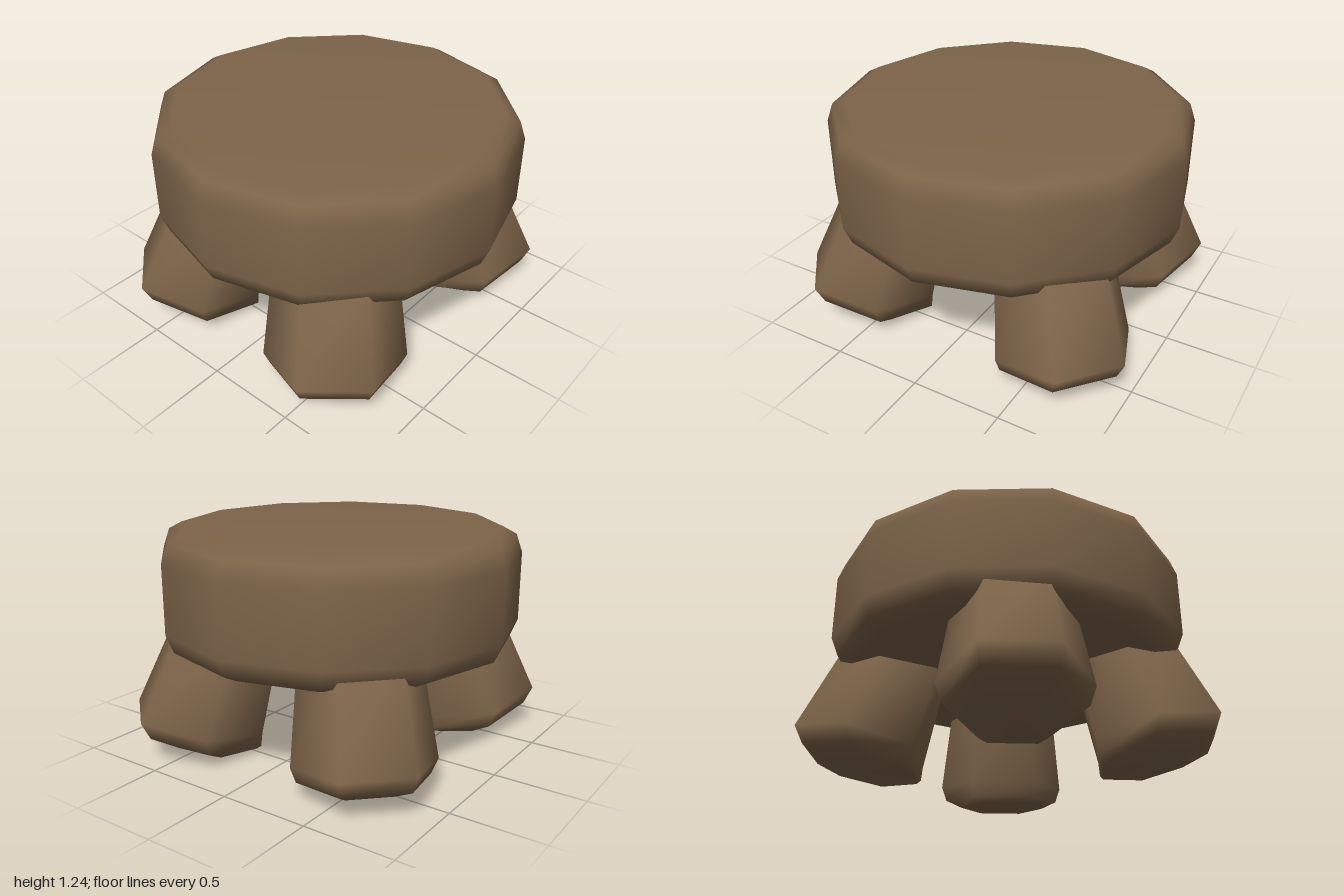
import * as THREE from 'three';

// Smooth closed skin through rings of [x, y, z] points, listed bottom to top, capped with fans
function loft(rings) {
  const n = rings[0].length;
  const pos = [], idx = [];
  const centre = ring => [0, 1, 2].map(k => ring.reduce((s, p) => s + p[k], 0) / n);
  rings.forEach(ring => ring.forEach(p => pos.push(...p)));
  for (let r = 0; r < rings.length - 1; r++) {
    for (let i = 0; i < n; i++) {
      const a = r * n + i, b = r * n + (i + 1) % n;
      idx.push(a, a + n, b, b, a + n, b + n);
    }
  }
  const low = rings.length * n, high = low + 1, last = (rings.length - 1) * n;
  pos.push(...centre(rings[0]), ...centre(rings[rings.length - 1]));
  for (let i = 0; i < n; i++) {
    const j = (i + 1) % n;
    idx.push(low, i, j, high, last + j, last + i);
  }
  const geo = new THREE.BufferGeometry();
  geo.setAttribute('position', new THREE.Float32BufferAttribute(pos, 3));
  geo.setIndex(idx);
  geo.computeVertexNormals();
  return geo;
}

// Horizontal polygon around (cx, y), rising along +x by the given slope
function ring(sides, radius, y, cx = 0, slope = 0, start = 0) {
  return Array.from({ length: sides }, (_, i) => {
    const a = start + (i / sides) * Math.PI * 2;
    const dx = Math.cos(a) * radius;
    return [cx + dx, y + dx * slope, Math.sin(a) * radius];
  });
}

export function createModel() {
  const model = new THREE.Group();
  model.name = 'stool';
  const wood = new THREE.MeshStandardMaterial({ color: 0x7d6449 });
  wood.name = 'brown wood';

  // Thick twelve-sided seat with rounded rims: [radius, height]
  const seatProfile = [[0.88, 0.58], [0.96, 0.62], [1, 0.72], [1, 1.1], [0.965, 1.2], [0.89, 1.24]];
  const seat = new THREE.Mesh(loft(seatProfile.map(([r, y]) => ring(12, r, y))), wood);
  seat.name = 'seat';
  model.add(seat);

  // Stubby six-sided leg leaning out along +x: [radius, height, centre, slope]
  const legProfile = [
    [0.25, 0.028, 0.73, 0.12],
    [0.345, 0.09, 0.795, 0.18],
    [0.375, 0.18, 0.815, 0.19],
    [0.306, 0.75, 0.62, 0.11],
  ];
  const legGeo = loft(legProfile.map(([r, y, cx, s]) => ring(6, r, y, cx, s, Math.PI / 6)));
  const legs = [
    ['frontLeftLeg', 0.865, 0.74],
    ['frontRightLeg', -0.88, 0.725],
    ['backLeftLeg', 0.815, -0.795],
    ['backRightLeg', -0.865, -0.745],
  ];
  for (const [name, x, z] of legs) {
    const leg = new THREE.Mesh(legGeo, wood);
    leg.name = name;
    leg.rotation.y = Math.atan2(-z, x);
    model.add(leg);
  }
  return model;
}
